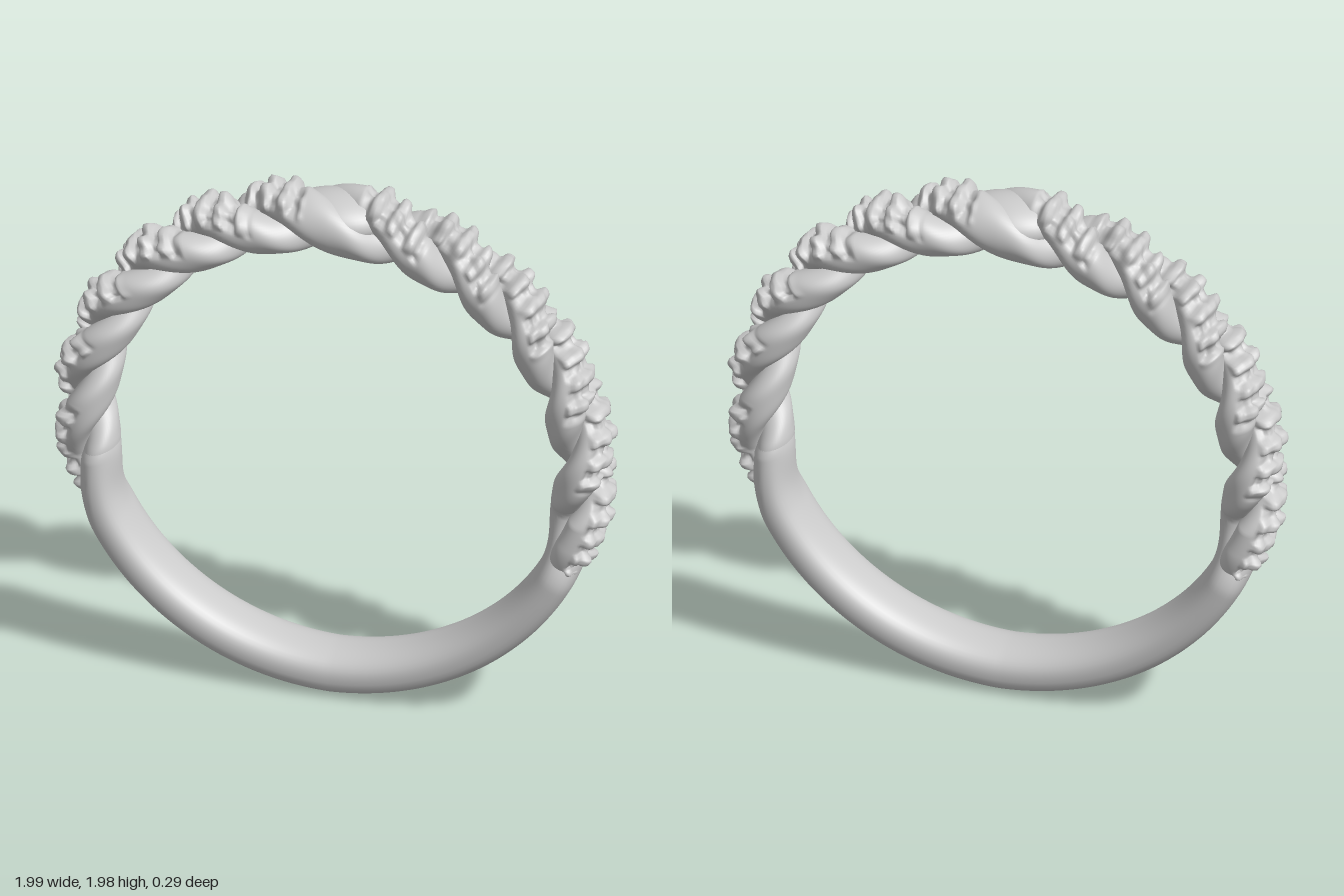
import * as THREE from 'three';

const D = Math.PI / 180;
const step = THREE.MathUtils.smoothstep;
const mix = THREE.MathUtils.lerp;
const material = new THREE.MeshStandardMaterial({ color: 0xcccccc, side: THREE.DoubleSide });

// Sweep a closed section around the ring; section(deg, u) returns [radius, z].
// deg runs clockwise from the top, u is the direction in the section (0 = outward).
function sweep(name, from, to, rows, sides, section) {
  const pos = [], index = [];
  for (let i = 0; i <= rows; i++) {
    const deg = mix(from, to, i / rows);
    for (let j = 0; j < sides; j++) {
      const [r, z] = section(deg, (j / sides) * Math.PI * 2);
      pos.push(r * Math.sin(deg * D), 1 + r * Math.cos(deg * D), z);
      if (i === rows) continue;
      const a = i * sides + j, b = i * sides + ((j + 1) % sides);
      index.push(a, b, a + sides, b, b + sides, a + sides);
    }
  }
  const geo = new THREE.BufferGeometry();
  geo.setAttribute('position', new THREE.Float32BufferAttribute(pos, 3));
  geo.setIndex(index);
  geo.computeVertexNormals();
  const mesh = new THREE.Mesh(geo, material);
  mesh.name = name;
  return mesh;
}

// Twist angle in degrees: stretched at the crown, slowing where the shank begins
function twist(deg) {
  const d = Math.abs(deg);
  const turn = 10 * Math.min(d, 102) + 3 * Math.max(0, d - 102)
    - 25 * Math.tanh(d / 8) * Math.max(0, 1 - d / 100);
  return Math.sign(deg) * turn;
}

// Scalloped seats and prongs on the outward side of a strand
function paveHeight(deg, u, phi) {
  const psi = Math.atan2(Math.sin(u), Math.cos(u));
  const mask = step(Math.cos(psi), 0.05, 0.45) * step(Math.cos(phi), -0.5, 0.1)
    * step(Math.abs(deg), 5, 8) * step(deg, -101, -96) * (1 - step(deg, 113, 118));
  const s = (deg / 4.8) * Math.PI * 2;
  const teeth = Math.tanh(2.5 * Math.cos(s + 0.8 * psi));
  const prongs = Math.cos(psi * 7) * Math.cos(s * 0.5 + 0.6);
  const channel = Math.exp(-((psi / 0.22) ** 2));
  return mask * (0.015 * teeth + 0.007 * prongs - 0.01 * channel - 0.003);
}

// Section of one twisted strand: an ellipse circling the ring's centre line
function strandSection(deg, u, phase, size, pave) {
  const t = Math.min(1, Math.abs(deg) / 95);
  const k = 1 - 0.16 * t;
  const R = 0.865 + 0.02 * t ** 1.5;
  const phi = (phase + twist(deg)) * D;
  const b = 0.071, w = 0.092, v = u - phi;
  let e = (b * w) / Math.hypot(w * Math.cos(v), b * Math.sin(v)) * k * size;
  if (pave) e += paveHeight(deg, u, phi) * size;
  const off = 0.055 * k;
  const z = off * Math.sin(phi) + e * Math.sin(u);
  return [R + off * Math.cos(phi) + e * Math.cos(u), z * mix(1.14, 1.2, t)];
}

// Rounded section of the plain shank, slimmer towards its upper ends
function shankSection(deg, u) {
  const t = Math.min(1, Math.abs(deg - 180) / 65);
  const hr = mix(0.079, 0.07, t), hz = mix(0.12, 0.13, t);
  const n = Math.cos(u) > 0 ? 2.9 : 2.3;
  const c = Math.abs(Math.cos(u)) / hr, s = Math.abs(Math.sin(u)) / hz;
  const e = Math.pow(c ** n + s ** n, -1 / n);
  return [mix(0.921, 0.898, t) + e * Math.cos(u), e * Math.sin(u)];
}

export function createModel() {
  const group = new THREE.Group();
  group.name = 'twistedRing';

  // Two strands, one the half-turn copy of the other: one end free, one inside the shank
  const strand = sweep('twistedStrand', -106, 121, 480, 56, (deg, u) => {
    const free = Math.sqrt(Math.max(0.0004, 1 - step(deg, 108, 121)));
    const hidden = mix(0.8, 1, step(deg, -106, -99));
    return strandSection(deg, u, 90, free * hidden, true);
  });
  const second = strand.clone();
  second.name = 'twistedStrandOpposite';
  second.rotation.y = Math.PI;
  group.add(strand, second);

  // Plain shank whose ends flow into the strands
  group.add(sweep('shank', 94, 266, 170, 48, (deg, u) => {
    const right = deg < 180;
    const d = right ? deg : 360 - deg;
    const w = step(d, 101, 119);
    const size = mix(0.85, 1, step(d, 94, 103));
    const p = strandSection(right ? d : -d, u, right ? 270 : 90, size, false);
    const q = shankSection(deg, u);
    return [mix(p[0], q[0], w), mix(p[1], q[1], w)];
  }));

  // Smooth pad between the strands at the crown
  const pad = new THREE.Mesh(new THREE.SphereGeometry(1, 40, 24), material);
  pad.name = 'crownPad';
  pad.scale.set(0.18, 0.085, 0.13);
  pad.position.y = 1.88;
  group.add(pad);
  return group;
}
